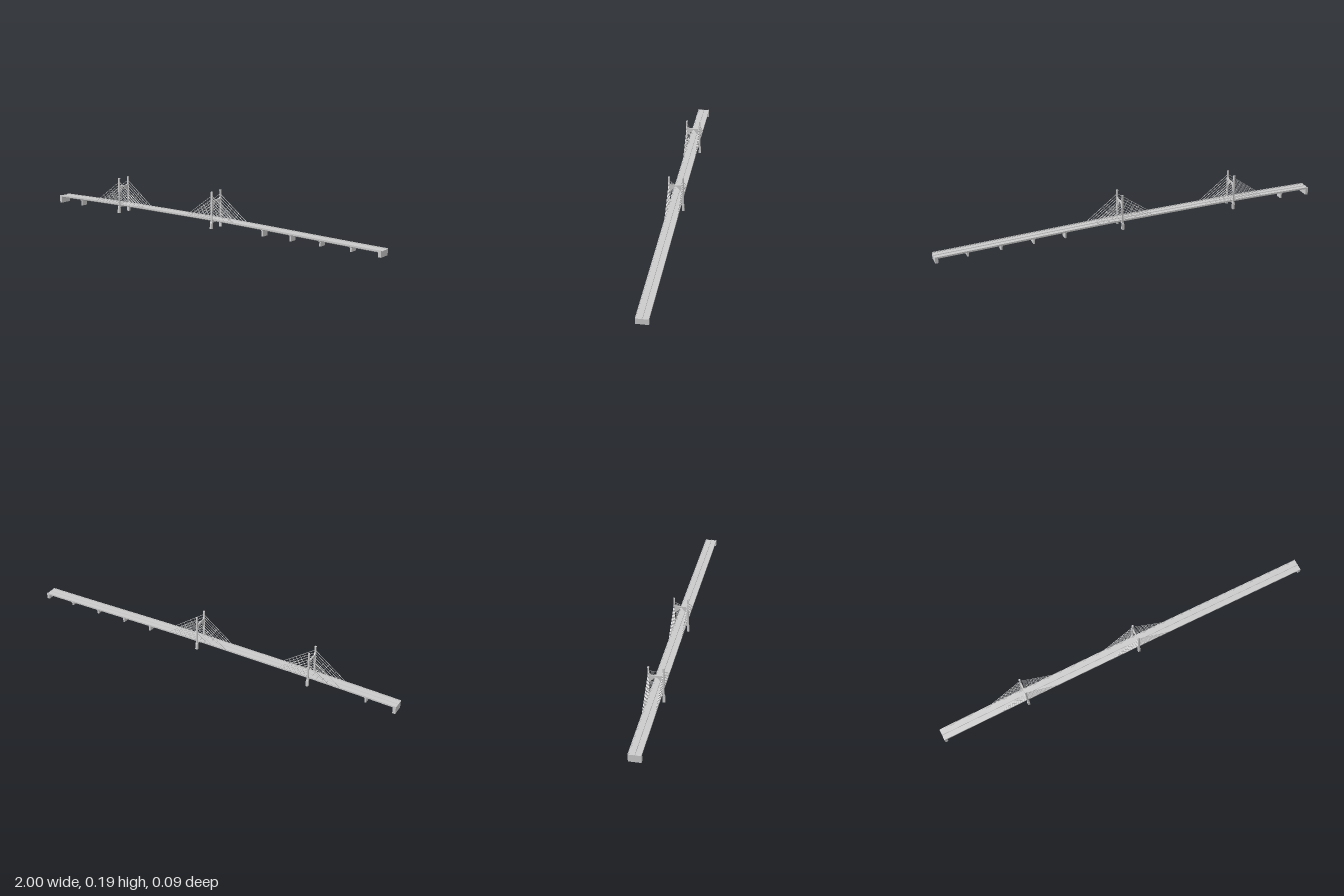
import * as THREE from 'three';

const mat = new THREE.MeshStandardMaterial({ color: 0xcccccc, flatShading: true, side: THREE.DoubleSide });

function add(parent, name, geometry) {
  const mesh = new THREE.Mesh(geometry, mat);
  mesh.name = name;
  parent.add(mesh);
  return mesh;
}

// box given by its min and max corners
function box(parent, name, x0, x1, y0, y1, z0, z1) {
  const g = new THREE.BoxGeometry(x1 - x0, y1 - y0, z1 - z0);
  g.translate((x0 + x1) / 2, (y0 + y1) / 2, (z0 + z1) / 2);
  return add(parent, name, g);
}

// thin rod between two points
function rod(parent, name, a, b, r) {
  const dir = b.clone().sub(a);
  const mesh = add(parent, name, new THREE.CylinderGeometry(r, r, dir.length(), 6));
  mesh.position.copy(a).addScaledVector(dir, 0.5);
  mesh.quaternion.setFromUnitVectors(new THREE.Vector3(0, 1, 0), dir.normalize());
}

// prism with a z/y outline, centred on x = 0
function prism(parent, name, points, width) {
  const shape = new THREE.Shape(points.map(([z, y]) => new THREE.Vector2(-z, y)));
  const g = new THREE.ExtrudeGeometry(shape, { depth: width, bevelEnabled: false });
  g.translate(0, 0, -width / 2).rotateY(Math.PI / 2);
  return add(parent, name, g);
}

// road surface height along the bridge
const smooth = THREE.MathUtils.smoothstep;
function roadY(x) {
  if (x < -0.45) return 0.045 - 0.008 * ((-0.45 - x) / 0.55) ** 1.4;
  return x > 0.1 ? 0.045 - 0.017 * (0.7 * (x - 0.1) / 0.9 + 0.3 * smooth(x, 0.1, 1)) : 0.045;
}

// deck: one cross-section with parapets and median, bent to the road profile
function deck(parent) {
  const half = [[0.03, -0.004], [0.03, 0.004], [0.028, 0.004], [0.028, 0.001], [0.024, 0.001],
    [0.024, 0], [0.002, 0], [0.0012, 0.003]];
  const outline = [[0.024, -0.008], ...half];
  const full = [...outline, ...outline.slice().reverse().map(([z, y]) => [-z, y])];
  const shape = new THREE.Shape(full.map(([z, y]) => new THREE.Vector2(z, y)));
  const g = new THREE.ExtrudeGeometry(shape, { depth: 2, steps: 48, bevelEnabled: false });
  g.translate(0, 0, -1).rotateY(Math.PI / 2);
  const p = g.attributes.position;
  for (let i = 0; i < p.count; i++) p.setY(i, p.getY(i) + roadY(p.getX(i)));
  g.computeVertexNormals();
  add(parent, 'deck', g);
}

function tower(x) {
  const t = new THREE.Group();
  t.name = 'tower';
  t.position.x = x;
  for (const s of [-1, 1]) {
    // tapered footing, leg and cap
    prism(t, 'footing', [[s * 0.043, 0], [s * 0.031, 0], [s * 0.032, 0.03], [s * 0.033, 0.036],
      [s * 0.04, 0.036], [s * 0.042, 0.03]], 0.012);
    prism(t, 'leg', [[s * 0.039, 0.03], [s * 0.032, 0.03], [s * 0.031, 0.182], [s * 0.038, 0.182]], 0.008);
    box(t, 'legCap', -0.0045, 0.0045, 0.181, 0.185, s * 0.0345 - 0.004, s * 0.0345 + 0.004);
    // haunches above and below the crossbeam
    prism(t, 'haunch', [[s * 0.032, 0.149], [s * 0.022, 0.142], [s * 0.022, 0.136], [s * 0.032, 0.126]], 0.006);
    prism(t, 'gusset', [[s * 0.031, 0.137], [0, 0.137], [s * 0.028, 0.103], [s * 0.031, 0.103]], 0.0015);
  }
  box(t, 'crossbeam', -0.003, 0.003, 0.136, 0.142, -0.033, 0.033);
  box(t, 'deckBeam', -0.004, 0.004, 0.031, 0.038, -0.034, 0.034);

  // cable stays and the ties that cross them
  const n = 8, reach = 0.163, base = 0.047, rise = 0.118;
  for (const sz of [-1, 1]) {
    const at = (dx, h) => new THREE.Vector3(dx, base + h, sz * (0.0295 + 0.004 * h / rise));
    for (const sx of [-1, 1]) {
      for (let i = 1; i <= n; i++) {
        const f = i / n;
        rod(t, 'stay', at(sx * reach * f, 0), at(0, rise * f), 0.0012);
      }
      for (let i = 0; i < 5; i++) {
        const d = reach * (0.06 + 0.17 * i);
        const k = (1 - d / reach) / (0.55 / reach + 0.83 / rise);
        rod(t, 'crossTie', at(sx * d, 0), at(sx * (d + 0.55 * k), 0.83 * k), 0.0009);
      }
    }
  }
  return t;
}

export function createModel() {
  const bridge = new THREE.Group();
  bridge.name = 'cableStayedBridge';
  deck(bridge);
  for (const x of [-0.553, 0.06]) bridge.add(tower(x));

  // wall piers with a wider head
  for (const x of [-0.845, 0.353, 0.513, 0.676, 0.84]) {
    const top = roadY(x) - 0.006;
    box(bridge, 'pier', x - 0.004, x + 0.004, 0, top, -0.018, 0.018);
    box(bridge, 'pierHead', x - 0.005, x + 0.005, top - 0.006, top, -0.023, 0.023);
  }

  // end abutments
  for (const s of [-1, 1]) {
    const a = s * 1, b = s * 0.985;
    box(bridge, 'abutment', Math.min(a, b), Math.max(a, b), 0, roadY(s) - 0.002, -0.03, 0.03);
  }
  return bridge;
}
